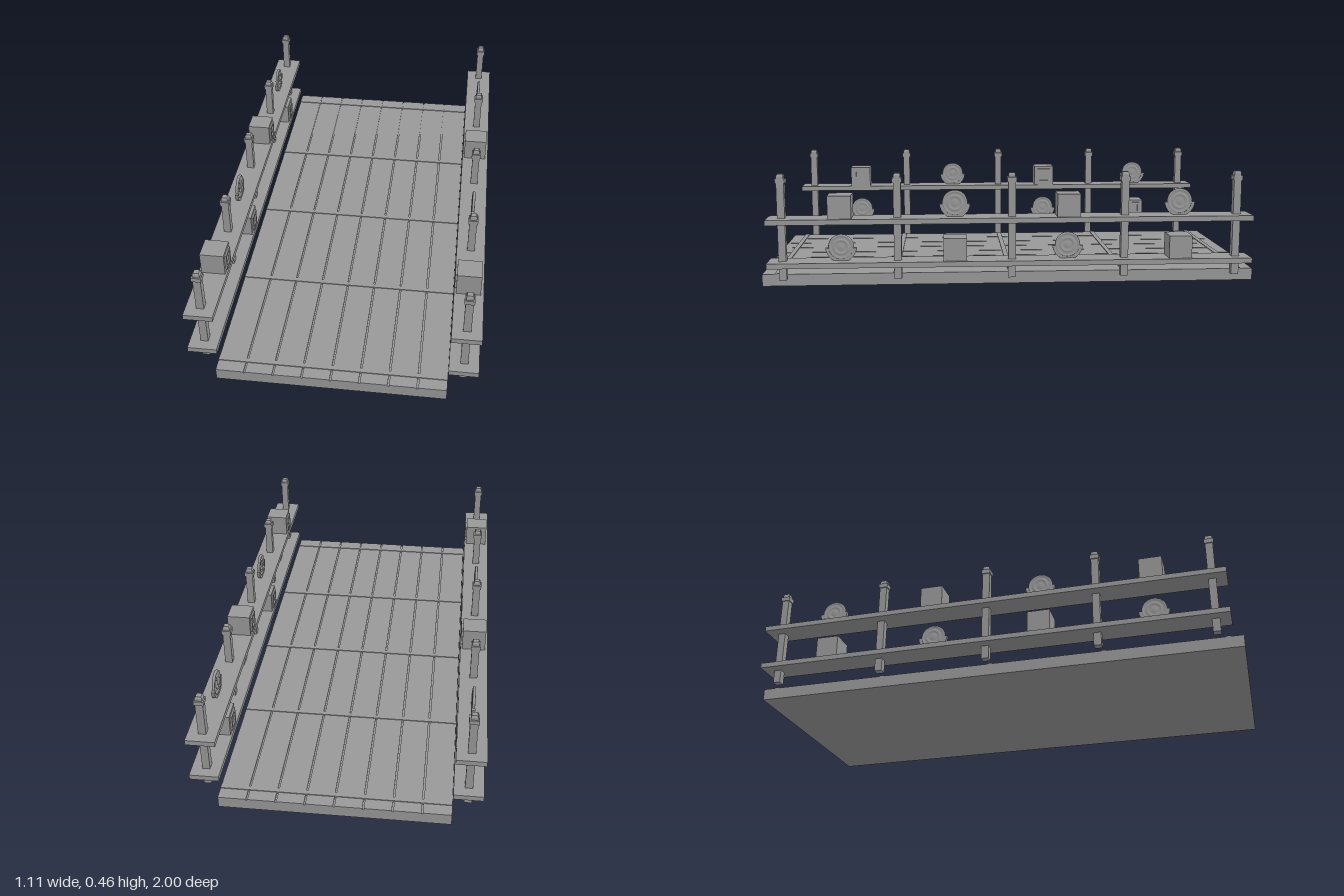
import * as THREE from 'three';

export function createModel() {
  const model = new THREE.Group();
  const grey = new THREE.MeshStandardMaterial({ color: 0x999999 });
  grey.name = 'plain grey';

  const add = (parent, name, geometry, x = 0, y = 0, z = 0) => {
    const mesh = new THREE.Mesh(geometry, grey);
    mesh.name = name;
    mesh.position.set(x, y, z);
    parent.add(mesh);
    return mesh;
  };
  // Box given by its ranges on each axis
  const block = (parent, name, x0, x1, y0, y1, z0, z1) =>
    add(parent, name, new THREE.BoxGeometry(x1 - x0, y1 - y0, z1 - z0),
      (x0 + x1) / 2, (y0 + y1) / 2, (z0 + z1) / 2);

  // Deck: base slab, planks with narrow gaps, cross battens
  const deck = new THREE.Group();
  deck.name = 'deck';
  model.add(deck);
  block(deck, 'deckBase', -0.443, 0.443, 0, 0.043, -1, 1);
  const plank = 0.886 / 8;
  for (let i = 0; i < 8; i++) {
    const x = -0.443 + i * plank;
    block(deck, 'plank', x + (i ? 0.003 : 0), x + plank - (i < 7 ? 0.003 : 0), 0.043, 0.048, -1, 1);
  }
  for (const z of [-0.94, -0.465, 0, 0.465, 0.94]) {
    block(deck, 'crossBatten', -0.443, 0.443, 0.043, 0.051, z - 0.01, z + 0.01);
  }

  // Square post with a collar and a chamfered cap
  const square = (top, bottom, height) =>
    new THREE.CylinderGeometry(top / Math.SQRT2, bottom / Math.SQRT2, height, 4).rotateY(Math.PI / 4).toNonIndexed();
  const flat = (g) => { g.computeVertexNormals(); return g; };
  const addPost = (parent, x, z) => {
    const post = new THREE.Group();
    post.name = 'post';
    post.position.set(x, 0, z);
    block(post, 'postShaft', -0.015, 0.015, 0.04, 0.426, -0.015, 0.015);
    block(post, 'postCollar', -0.019, 0.019, 0.425, 0.443, -0.019, 0.019);
    block(post, 'postCap', -0.014, 0.014, 0.443, 0.453, -0.014, 0.014);
    add(post, 'postTip', flat(square(0.021, 0.028, 0.008)), 0, 0.457, 0);
    parent.add(post);
  };

  // Display box with a framed panel facing the deck
  const addBox = (parent, side, y, z) => {
    const box = new THREE.Group();
    box.name = 'displayBox';
    box.position.set(0, y, z);
    const span = (name, a, b, y0, y1, z0, z1) =>
      block(box, name, Math.min(a * side, b * side), Math.max(a * side, b * side), y0, y1, z0, z1);
    span('boxBody', 0.45, 0.545, 0, 0.091, -0.046, 0.046);
    for (const s of [-1, 1]) {
      span('frameUpright', 0.443, 0.45, 0.012, 0.079, s * 0.026 - 0.005, s * 0.026 + 0.005);
      const c = 0.0455 + s * 0.0285;
      span('frameRail', 0.443, 0.45, c - 0.005, c + 0.005, -0.021, 0.021);
    }
    parent.add(box);
  };

  // Ringed plate resting in a half-round cradle
  const plateProfile = [[0, 0.005], [0.01, 0.005], [0.014, 0.003], [0.022, 0.003], [0.025, 0.0055],
    [0.03, 0.0055], [0.033, 0.003], [0.041, 0.003], [0.044, 0.006], [0.049, 0.005], [0.051, 0]];
  const points = [...plateProfile.map(([r, h]) => [r, -h]), ...plateProfile.slice(0, -1).reverse()]
    .map(([r, h]) => new THREE.Vector2(r, h));
  const plateGeometry = new THREE.LatheGeometry(points, 32).rotateZ(Math.PI / 2);
  const arc = new THREE.Shape();
  arc.absarc(0, 0, 0.061, Math.PI * 1.02, Math.PI * 1.98, false);
  arc.absarc(0, 0, 0.048, Math.PI * 1.98, Math.PI * 1.02, true);
  const cradleGeometry = new THREE.ExtrudeGeometry(arc, { depth: 0.014, bevelEnabled: false, curveSegments: 20 })
    .translate(0, 0, -0.007).rotateY(Math.PI / 2);
  const addPlate = (parent, x, y, z) => {
    const stand = new THREE.Group();
    stand.name = 'plateOnStand';
    stand.position.set(x, y + 0.054, z);
    add(stand, 'plate', plateGeometry);
    add(stand, 'cradle', cradleGeometry);
    parent.add(stand);
  };

  // Shelf racks on both sides, boxes and plates alternating
  const slots = [0.676, 0.226, -0.224, -0.674];
  for (const side of [1, -1]) {
    const rack = new THREE.Group();
    rack.name = side > 0 ? 'leftRack' : 'rightRack';
    model.add(rack);
    for (const z of [-0.905, -0.4525, 0, 0.4525, 0.905]) addPost(rack, side * 0.5, z);
    [0.115, 0.287].forEach((top, level) => {
      block(rack, 'shelf', side * 0.5 - 0.057, side * 0.5 + 0.057, top - 0.021, top, -0.962, 0.962);
      slots.forEach((z, i) => {
        if ((i + level) % 2) addBox(rack, side, top, z);
        else addPlate(rack, side * 0.5, top, z);
      });
    });
  }
  return model;
}
